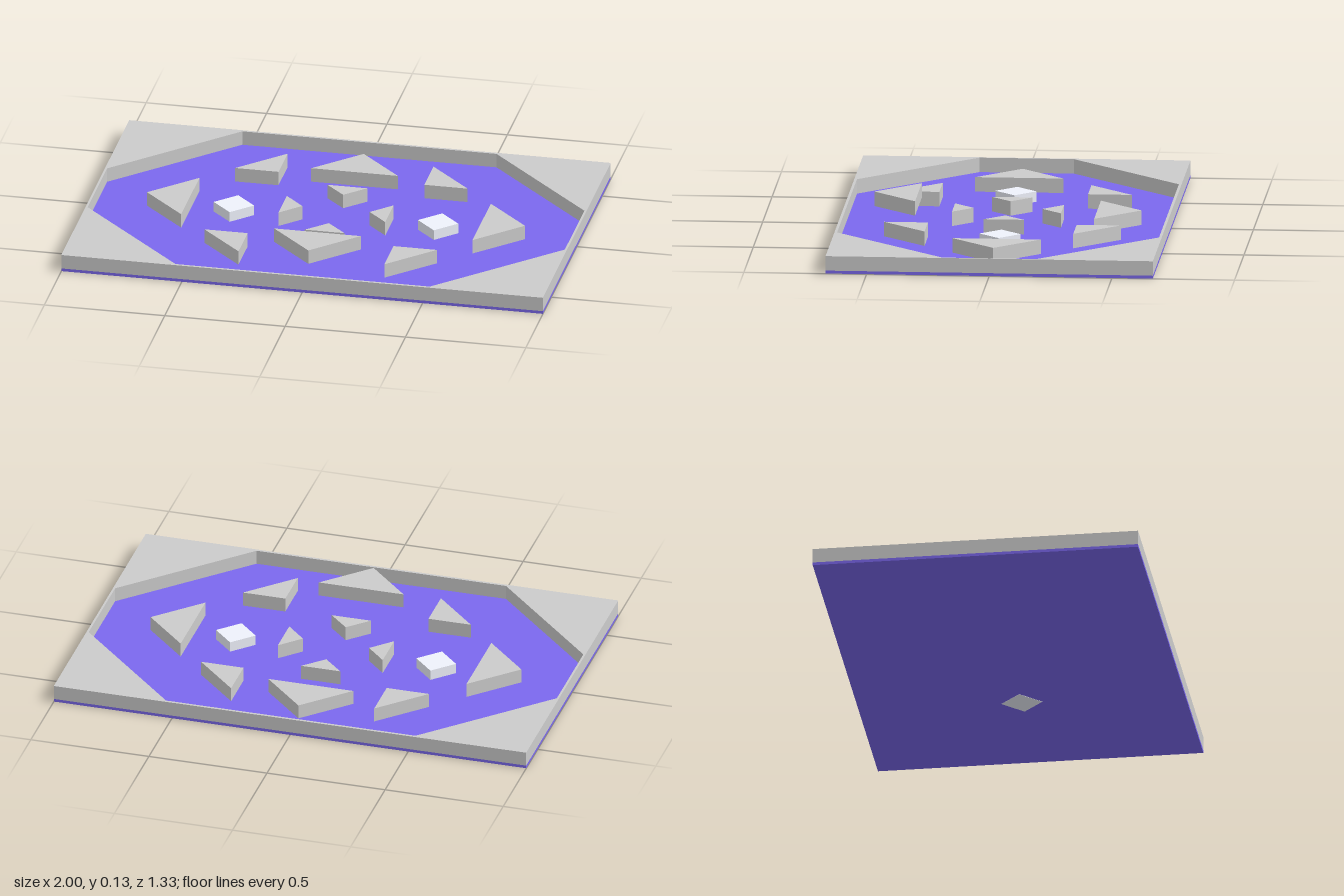
import * as THREE from 'three';

const grey = new THREE.MeshStandardMaterial({ color: 0xcccccc, flatShading: true });
const purple = new THREE.MeshStandardMaterial({ color: 0x7b68ee, flatShading: true });
const pale = new THREE.MeshStandardMaterial({ color: 0xeef1fb, flatShading: true });

const FLOOR = 0.013, TOP = 0.073;

// Points are [x, z] in plan
const toVectors = (pts) => pts.map(([x, z]) => new THREE.Vector2(x, -z));

// Upright prism from a plan outline, between two heights
function prism(name, pts, y0, y1, material, hole) {
  const shape = new THREE.Shape(toVectors(pts));
  if (hole) shape.holes.push(new THREE.Path(toVectors(hole)));
  const geo = new THREE.ExtrudeGeometry(shape, { depth: y1 - y0, bevelEnabled: false });
  geo.rotateX(-Math.PI / 2).translate(0, y0, 0);
  const mesh = new THREE.Mesh(geo, material);
  mesh.name = name;
  return mesh;
}

export function createModel() {
  const group = new THREE.Group();
  group.name = 'arena';
  const W = 1, D = 0.667;
  // Outline runs opposite to the opening so the inner walls face inward
  const rect = [[-W, D], [W, D], [W, -D], [-W, -D]];

  // Base plate, a hair above the ground so the through-block shows below
  group.add(prism('floor', rect, 0.001, FLOOR, purple));

  // Outer wall with solid corners around an eight-sided opening
  const ix = 0.991, iz = 0.656, cx = 0.528, cz = 0.192;
  const opening = [[-cx, -iz], [cx, -iz], [ix, -cz], [ix, cz], [cx, iz], [-cx, iz], [-ix, cz], [-ix, -cz]];
  group.add(prism('wall', rect, FLOOR, TOP, grey, opening));

  for (const s of [-1, 1]) {
    const side = s > 0 ? 'left' : 'right';
    const end = s > 0 ? 'front' : 'back';

    // Large triangles pointing outward; the front one is lifted
    const lift = s > 0 ? 0.061 : 0;
    group.add(prism(end + 'LargeBlock', [[-0.18, s * 0.365], [0.18, s * 0.365], [0, s * 0.545]], FLOOR + lift, TOP + lift, grey));
    group.add(prism(side + 'LargeBlock', [[s * 0.605, -0.18], [s * 0.605, 0.18], [s * 0.785, 0]], FLOOR, TOP, grey));

    // Small triangles pointing to the centre
    group.add(prism(end + 'SmallBlock', [[-0.083, s * 0.222], [0.083, s * 0.222], [0, s * 0.14]], FLOOR, TOP, grey));
    group.add(prism(side + 'SmallBlock', [[s * 0.222, -0.083], [s * 0.222, 0.083], [s * 0.14, 0]], FLOOR, TOP, grey));

    // Right-angled corner triangles
    for (const t of [-1, 1]) {
      const name = (t > 0 ? 'front' : 'back') + (s > 0 ? 'Left' : 'Right') + 'CornerBlock';
      group.add(prism(name, [[s * 0.303, t * 0.303], [s * 0.483, t * 0.303], [s * 0.303, t * 0.483]], FLOOR, TOP, grey));
    }

    // Pale diamonds; the left one reaches through the floor
    const dx = s * 0.424, r = 0.084;
    group.add(prism(side + 'Diamond', [[dx - r, 0], [dx, -r], [dx + r, 0], [dx, r]], s > 0 ? 0 : FLOOR, 0.056, pale));
  }
  return group;
}
